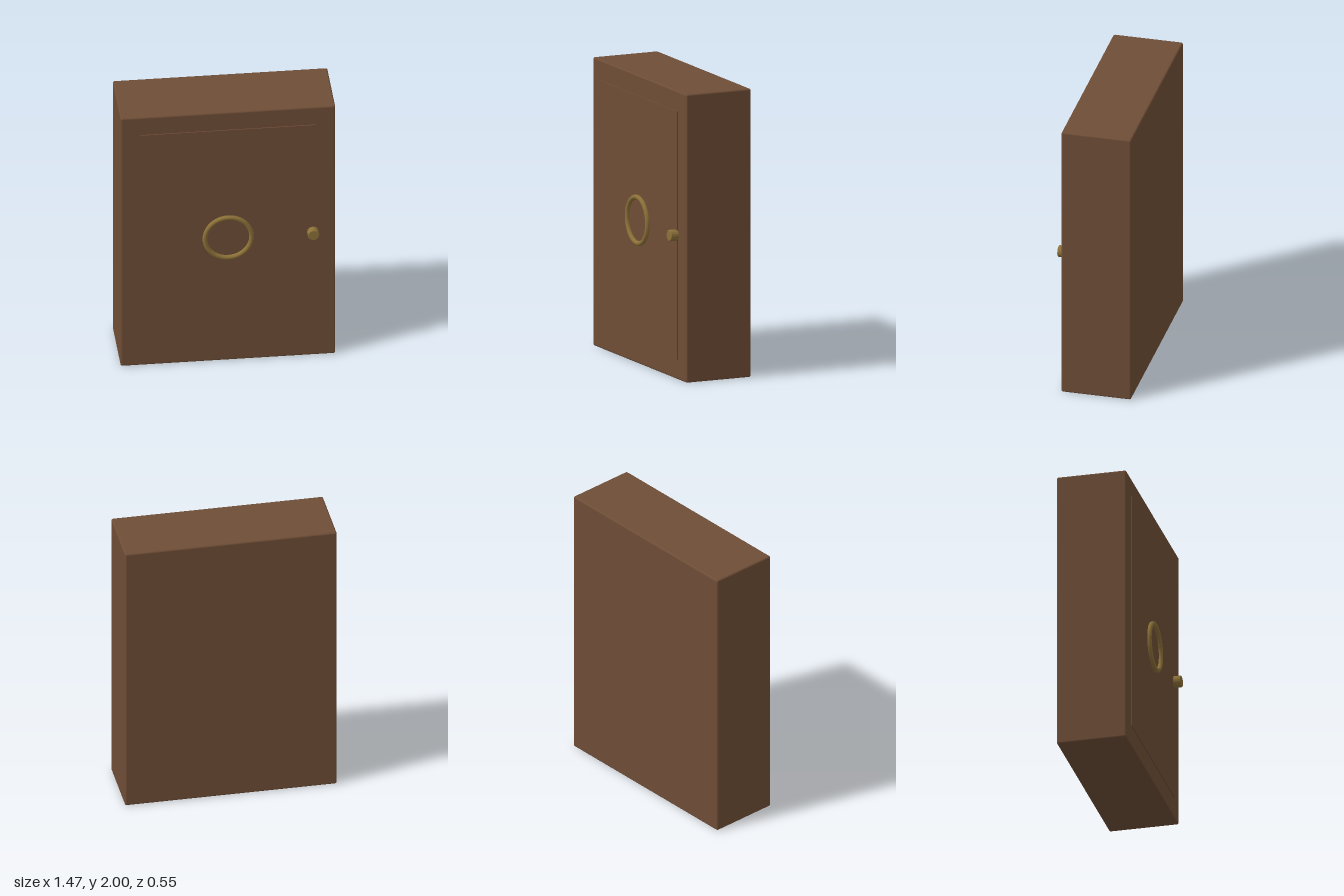
import * as THREE from 'three';
import { RoundedBoxGeometry } from 'three/addons/geometries/RoundedBoxGeometry.js';

export function createModel() {
  const group = new THREE.Group();
  const material = (name, color) => {
    const m = new THREE.MeshStandardMaterial({ color });
    m.name = name;
    return m;
  };
  const wood = material('brown wood', 0x6e4d36);
  const brass = material('brass', 0x8c7038);

  const add = (name, geometry, mat, x, y, z) => {
    const mesh = new THREE.Mesh(geometry, mat);
    mesh.name = name;
    mesh.position.set(x, y, z);
    group.add(mesh);
    return mesh;
  };

  // Solid cabinet with slightly softened edges
  add('cabinetBody', new RoundedBoxGeometry(1.47, 2, 0.488, 2, 0.012), wood, 0, 1, -0.029);

  // Door standing just proud of the front
  add('doorPanel', new THREE.BoxGeometry(1.2, 1.72, 0.03), wood, 0, 1, 0.207);

  // Round ornament in the middle of the door
  add('doorRing', new THREE.TorusGeometry(0.16, 0.017, 10, 40), brass, 0, 1, 0.232);

  // Short cylindrical knob with a chamfered face, pointing forward
  const knobProfile = [[0, 0], [0.04, 0], [0.04, 0.053], [0.036, 0.057], [0, 0.057]]
    .map(([r, h]) => new THREE.Vector2(r, h));
  const knobGeometry = new THREE.LatheGeometry(knobProfile, 16).toNonIndexed();
  knobGeometry.computeVertexNormals();
  add('doorKnob', knobGeometry, brass, 0.58, 1, 0.216).rotation.x = Math.PI / 2;

  return group;
}
